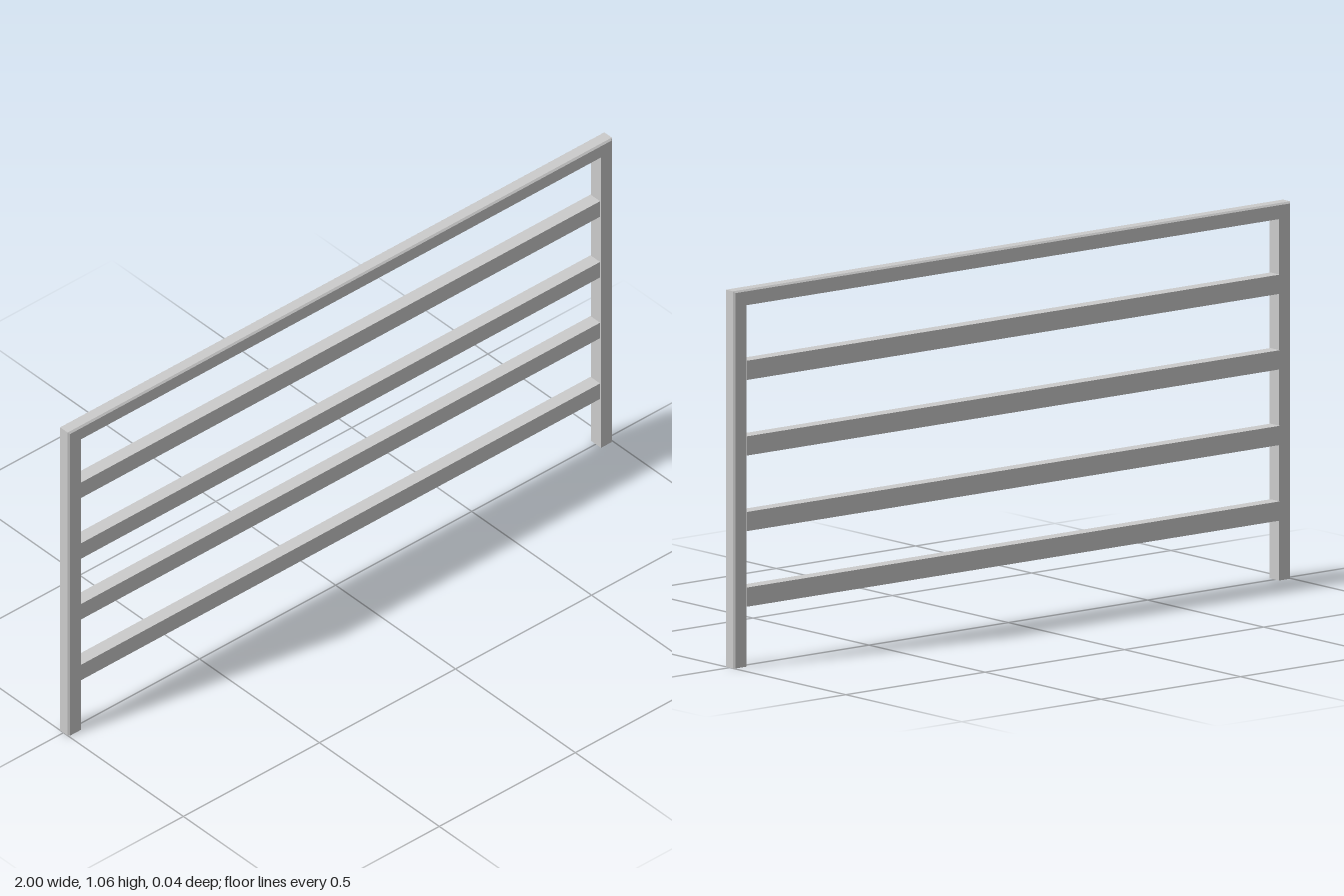
import * as THREE from 'three';

const HEIGHT = 1.06, TUBE = 0.044, CHAMFER = 0.005;
const FRONT = 0.022, BACK = -0.019;

// Arch-shaped frame: one tube profile carried up, across and down with mitred corners
function frameGeometry() {
  // profile as [distance inward from the outer edge, z]
  const profile = [
    [TUBE, FRONT], [CHAMFER, FRONT], [0, FRONT - CHAMFER],
    [0, BACK + CHAMFER], [CHAMFER, BACK], [TUBE, BACK],
  ];
  const rings = [
    ([d, z]) => [-1 + d, 0, z],
    ([d, z]) => [-1 + d, HEIGHT - d, z],
    ([d, z]) => [1 - d, HEIGHT - d, z],
    ([d, z]) => [1 - d, 0, z],
  ].map((place) => profile.map(place));

  const positions = [];
  for (let i = 0; i < rings.length - 1; i++) {
    for (let j = 0; j < profile.length; j++) {
      const k = (j + 1) % profile.length;
      const a = rings[i][j], b = rings[i][k], c = rings[i + 1][k], d = rings[i + 1][j];
      positions.push(...a, ...b, ...c, ...a, ...c, ...d);
    }
  }
  const geometry = new THREE.BufferGeometry();
  geometry.setAttribute('position', new THREE.Float32BufferAttribute(positions, 3));
  geometry.computeVertexNormals();
  return geometry;
}

export function createModel() {
  const group = new THREE.Group();
  group.name = 'railFence';

  // the feet of the tube are open, so its inside shows
  const frame = new THREE.Mesh(
    frameGeometry(),
    new THREE.MeshStandardMaterial({ color: 0xcccccc, flatShading: true, side: THREE.DoubleSide }),
  );
  frame.name = 'frame';
  group.add(frame);

  // four evenly spaced rails, set slightly to the back of the frame
  const railMaterial = new THREE.MeshStandardMaterial({ color: 0xcccccc, flatShading: true });
  const railGeometry = new THREE.BoxGeometry(2 * (1 - TUBE), 0.054, 0.04);
  for (let i = 0; i < 4; i++) {
    const rail = new THREE.Mesh(railGeometry, railMaterial);
    rail.name = `rail${i + 1}`;
    rail.position.set(0, 0.196 + i * 0.2125, -0.002);
    group.add(rail);
  }
  return group;
}
